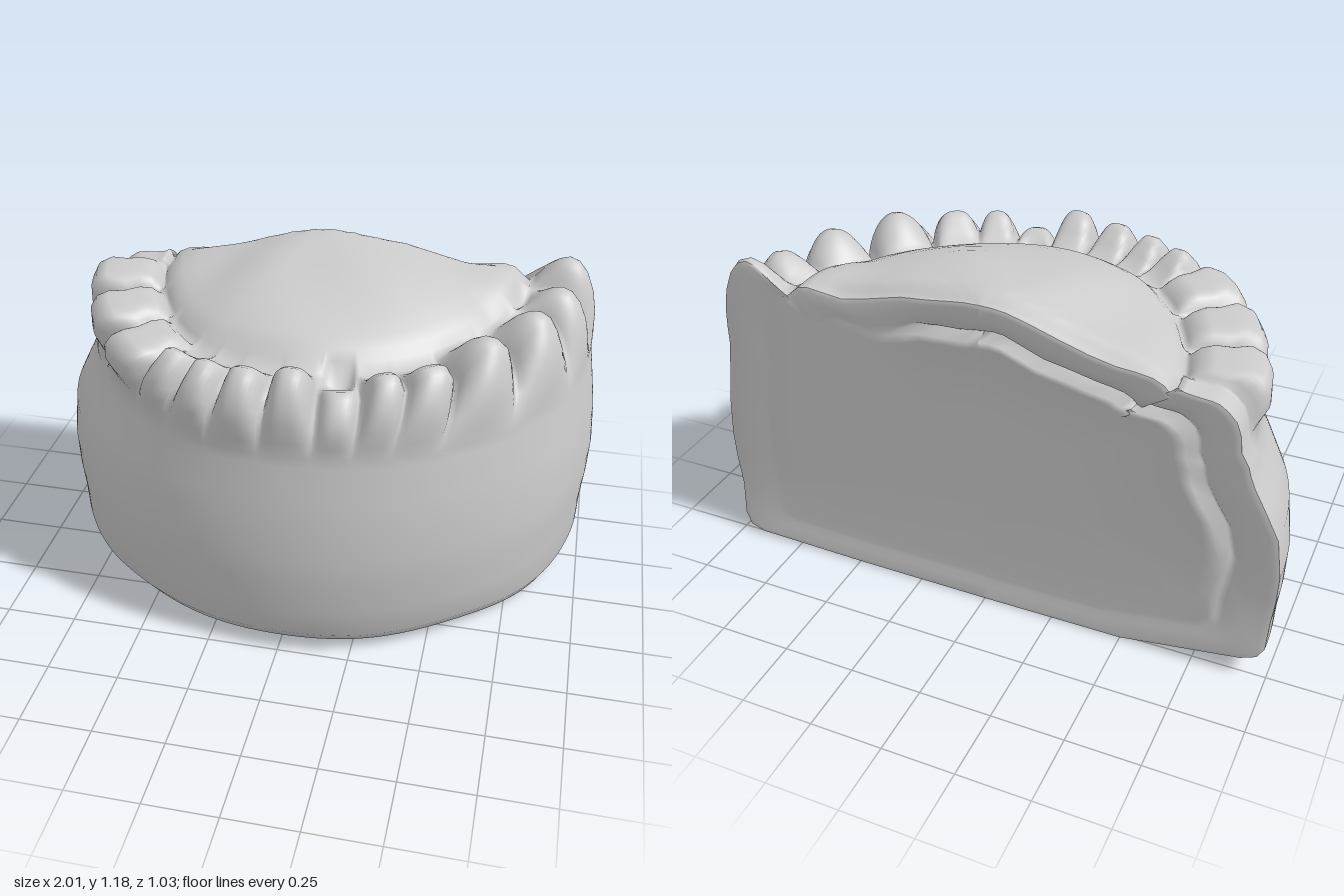
import * as THREE from 'three';

const BACK = -0.49; // plane of the flat back, and centre line of the arch
const material = new THREE.MeshStandardMaterial({ color: 0xcccccc, roughness: 0.8 });
const { smoothstep: smooth, lerp } = THREE.MathUtils;

// Skins a list of rings (arrays of Vector3) into a smooth surface.
function loft(rings, closed) {
  const n = rings[0].length, index = [];
  for (let i = 0; i < rings.length - 1; i++) {
    for (let j = 0; j < (closed ? n : n - 1); j++) {
      const k = (j + 1) % n;
      const a = i * n + j, b = i * n + k, c = a + n, d = b + n;
      index.push(a, c, b, b, c, d);
    }
  }
  const geometry = new THREE.BufferGeometry().setFromPoints(rings.flat());
  geometry.setIndex(index);
  geometry.computeVertexNormals();
  return geometry;
}

function addMesh(parent, name, geometry) {
  const mesh = new THREE.Mesh(geometry, material);
  mesh.name = name;
  parent.add(mesh);
}

// Half-round base from the bottom centre up the wall: [radius, height]
const WALL = [
  [0, 0.008], [0.5, 0.01], [0.89, 0.018], [0.945, 0.035], [0.975, 0.08], [0.99, 0.2],
  [1, 0.32], [1.003, 0.42], [0.993, 0.56], [0.98, 0.65], [0.968, 0.73], [0.962, 0.77],
];

// Domed floor inside the arch, from the gum to the back centre: [radius, height]
const FLOOR = [
  [0.7, 1.0], [0.67, 1.03], [0.63, 1.052], [0.57, 1.073], [0.5, 1.093], [0.4, 1.12],
  [0.28, 1.152], [0.18, 1.172], [0.1, 1.188], [0.05, 1.194], [0, 1.195],
];

// Section across the gap between teeth: [offset from the crest line, height]
const GAP = [
  [0.09, 0.805], [0.08, 0.85], [0.06, 0.9], [0.04, 0.93], [0.018, 0.95], [-0.01, 0.965],
  [-0.035, 0.97], [-0.06, 0.972], [-0.09, 0.975], [-0.12, 0.98], [-0.14, 0.99],
];

// Sections across a tooth: [offset from the crest line, share of the height above 0.8]
const SECTIONS = {
  incisor: [[0.1, 0.02], [0.102, 0.2], [0.1, 0.42], [0.09, 0.62], [0.07, 0.8], [0.042, 0.94],
    [0.012, 1], [-0.02, 0.95], [-0.055, 0.82], [-0.095, 0.7], [-0.13, 0.66]],
  pointed: [[0.1, 0.02], [0.106, 0.2], [0.102, 0.42], [0.088, 0.64], [0.062, 0.84], [0.03, 0.96],
    [-0.005, 1], [-0.04, 0.97], [-0.08, 0.88], [-0.115, 0.76], [-0.14, 0.68]],
  molar: [[0.1, 0.02], [0.108, 0.25], [0.115, 0.5], [0.115, 0.75], [0.098, 0.92], [0.06, 1],
    [0.005, 0.97], [-0.055, 1], [-0.1, 0.95], [-0.13, 0.82], [-0.145, 0.74]],
};
const SHARPNESS = { incisor: 2.8, pointed: 2, molar: 5 };
// How far each section point leans along the arch, and has left the wall below
const LEAN = [1, 0.85, 0.6, 0.4, 0.2, 0, 0, 0, 0, 0, 0];
const LEAVE = [0, 0.3, 0.75, 0.95, 1, 1, 1, 1, 1, 1, 1];

// Teeth round the arch: [kind, angle, half width in degrees, top]
const TEETH = [
  ['pointed', 1, 5.5, 1.145], ['pointed', 12, 6, 1.1], ['pointed', 27, 8, 1.105],
  ['pointed', 44, 8, 1.105], ['incisor', 58.5, 5.8, 1.075], ['incisor', 68.5, 4.6, 1.07],
  ['incisor', 78, 4.2, 1.01], ['incisor', 88, 5, 1.095], ['incisor', 98, 4.8, 1.075],
  ['incisor', 107, 4.2, 1.065], ['incisor', 115.5, 4.4, 1.06], ['molar', 127.5, 8, 1.035],
  ['molar', 146, 9.2, 1.04], ['molar', 164.5, 8.5, 1.045],
];

// Places a profile point at an angle, with the uneven shape of hand-trimmed plaster.
function castPoint(r, h, t) {
  const c = Math.cos(t), s = Math.sin(t);
  const wall = smooth(r, 0.7, 0.9);
  const high = smooth(h, 0.5, 0.82) * (1 - smooth(h, 0.84, 0.95));
  let radius = r * (1 + 0.012 * wall * s);
  radius *= 1 - wall * 0.09 * high * Math.max(0, -c) ** 2;
  radius *= 1 - wall * 0.005 * (1 + Math.sin(7 * t + 5 * h)) * s;
  if (h < 0.1) radius += 0.025 * smooth(Math.abs(c), 0.6, 1) * wall * (1 - h / 0.15);
  const x = radius * c;
  let z = BACK + radius * s;
  let y = h;
  if (h < 0.3) y += (0.07 * smooth(-x, 0.65, 1) + 0.012 * smooth(z, -0.3, 0.5)) * (1 - h / 0.3);
  if (h < 0.1) y += 0.005 * Math.sin(9 * t) * wall;
  z -= 0.025 * Math.max(0, 1 - h / 0.2) * Math.max(0, 1 - 8 * radius * s);
  return new THREE.Vector3(x, y, z);
}

// Section of the row of teeth at an angle, blending from wall to gap or tooth.
function toothSection(t, crest) {
  const degrees = THREE.MathUtils.radToDeg(t);
  const [kind, middle, half, top] = TEETH.reduce((best, tooth) =>
    Math.abs(degrees - tooth[1]) / tooth[2] < Math.abs(degrees - best[1]) / best[2] ? tooth : best);
  const d = Math.min(1, Math.abs(degrees - middle) / half);
  const fill = (1 - d ** SHARPNESS[kind]) ** 0.85;
  const lean = 0.11 * Math.sin(2 * t) ** 2;
  const gumLift = 0.06 * smooth(Math.cos(t), 0.88, 1) + 0.035 * smooth(-Math.cos(t), 0.93, 1);
  return GAP.map(([offset, height], i) => {
    const [reach, share] = SECTIONS[kind][i];
    const gap = height + gumLift * smooth(height, 0.88, 0.97);
    return castPoint(
      lerp(0.957, crest + lerp(offset, reach, fill), LEAVE[i]),
      lerp(gap, 0.8 + share * (top - 0.8), fill),
      t + lean * LEAN[i]);
  });
}

// Whole profile at one angle: base and wall, teeth, floor.
function column(t) {
  const c = Math.cos(t), s = Math.sin(t);
  const crest = 0.872 - 0.022 * smooth(c, 0.3, 0.9) - 0.095 * smooth(-c, 0.4, 0.97);
  const floor = FLOOR.map(([r, h]) => {
    const p = castPoint(r * crest / 0.872, h, t);
    const outer = smooth(r, 0.1, 0.4), edge = smooth(r, 0.45, 0.7);
    p.y += 0.022 * outer * (s + 0.8 * c) * (1 - 0.5 * edge);
    p.y += 0.05 * edge * smooth(c, 0.88, 1);
    p.y += 0.006 * Math.sin(5 * t + 9 * r) * outer;
    p.y -= 0.035 * (1 - smooth(p.z, BACK, BACK + 0.07)) * (1 - edge);
    return p;
  });
  return [...WALL.map(([r, h]) => castPoint(r, h, t)), ...toothSection(t, crest), ...floor];
}

// The cast is skinned in one go so that its three parts blend without a seam.
function addCast(model) {
  const steps = 280;
  const columns = Array.from({ length: steps + 1 }, (_, j) => column((Math.PI * j) / steps));
  const rings = columns[0].map((_, i) => columns.map((points) => points[i]));
  const skin = loft(rings, false);
  const index = Array.from(skin.index.array);
  const gum = WALL.length - 1, floor = gum + GAP.length + 1;
  const parts = [['base', 0, gum], ['teeth', gum, floor], ['domedFloor', floor, rings.length - 1]];
  for (const [name, from, to] of parts) {
    const geometry = skin.clone();
    geometry.setIndex(index.slice(from * steps * 6, to * steps * 6));
    addMesh(model, name, geometry);
  }
}

// Flat back: inset rings of the outline, with a groove along the top and one side.
function addBack(model) {
  const outline = [...column(0), ...column(Math.PI).reverse()];
  const insets = [ // [scale, push, groove]
    [1, 0, 0], [0.975, -0.006, 0], [0.9, -0.006, 0.008], [0.85, -0.004, 0.012],
    [0.825, -0.004, 0.035], [0.8, -0.005, -0.012], [0.75, -0.005, 0], [0.4, -0.005, 0], [0, -0.005, 0],
  ];
  const rings = insets.map(([scale, push, groove]) => outline.map((p) => {
    const angle = (Math.atan2(p.y - 0.55, p.x) * 180 / Math.PI + 450) % 360 - 90;
    const strength = smooth(angle, 50, 70) * (1 - smooth(angle, 185, 210));
    const wobble = scale > 0.7 && scale < 0.88 ? 0.012 * Math.sin(angle * 0.21) * strength : 0;
    const s = scale * (1 + wobble);
    const z = BACK + (p.z - BACK) * scale ** 6 + push + groove * strength;
    return new THREE.Vector3(p.x * s, 0.55 + (p.y - 0.55) * s, z);
  }));
  addMesh(model, 'flatBack', loft(rings, true));
}

export function createModel() {
  const model = new THREE.Group();
  model.name = 'dentalCast';
  addCast(model);
  addBack(model);
  return model;
}
